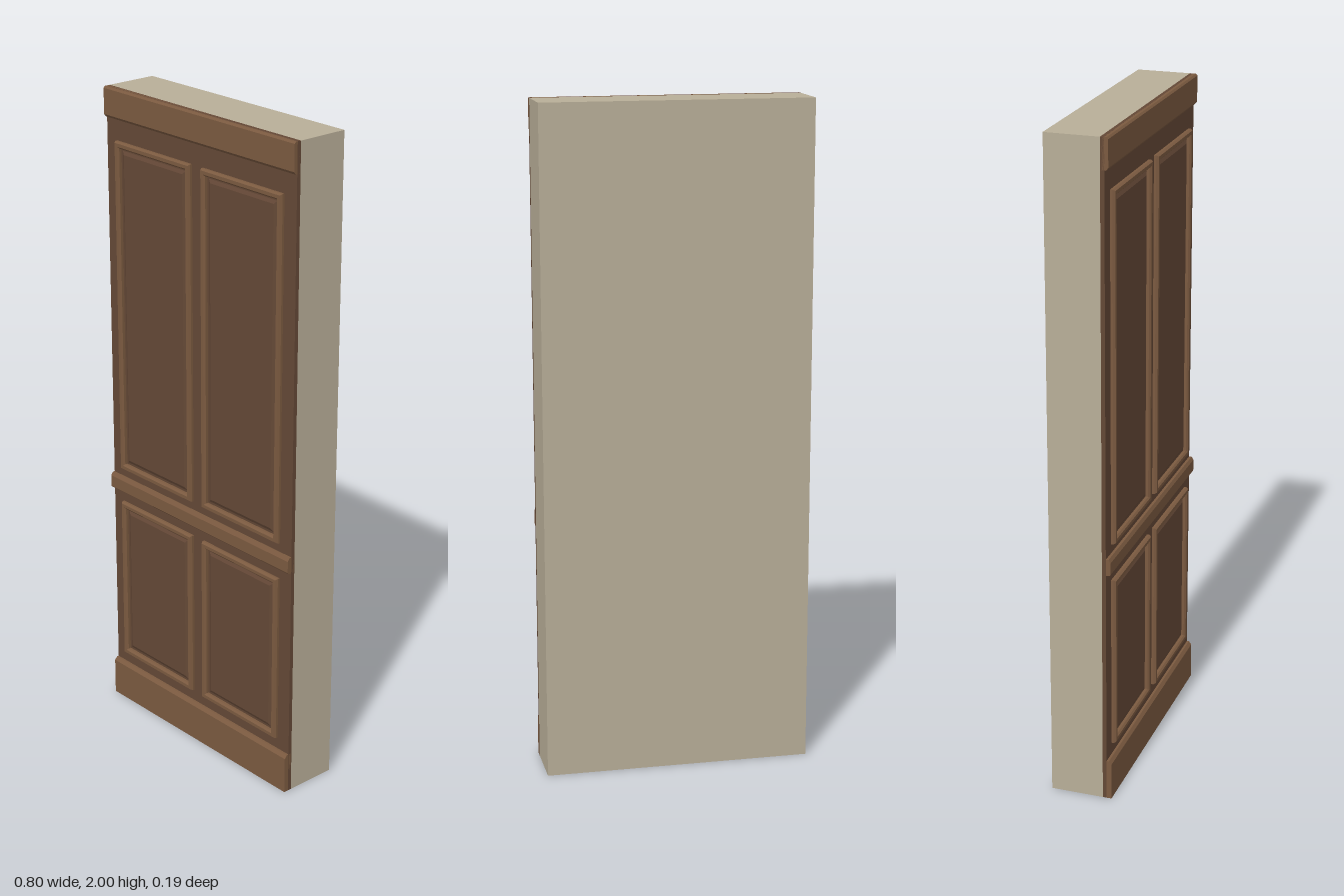
import * as THREE from 'three';

const mat = (color) => new THREE.MeshStandardMaterial({ color, flatShading: true });
const plaster = mat(0xb8ae98);
const darkWood = mat(0x644836);
const lightWood = mat(0x7b5a40);

const W = 0.8;          // overall width
const FACE = 0.078;     // front face of the wood backing

function box(name, w, h, d, x, y, z, material) {
  const m = new THREE.Mesh(new THREE.BoxGeometry(w, h, d), material);
  m.name = name;
  m.position.set(x, y, z);
  return m;
}

// Horizontal moulding: [z, y] profile swept across the full width
function rail(name, profile) {
  const shape = new THREE.Shape(profile.map(([z, y]) => new THREE.Vector2(-z, y)));
  const geo = new THREE.ExtrudeGeometry(shape, { depth: W, bevelEnabled: false });
  geo.rotateY(Math.PI / 2).translate(-W / 2, 0, 0);
  const m = new THREE.Mesh(geo, lightWood);
  m.name = name;
  return m;
}

// Concentric rectangles stepping inwards; each step is [inset, z]
function steppedRect(name, x0, x1, y0, y1, steps, material, capped) {
  const pos = [];
  const ring = ([i, z]) => [[x0 + i, y0 + i, z], [x1 - i, y0 + i, z], [x1 - i, y1 - i, z], [x0 + i, y1 - i, z]];
  const quad = (a, b, c, d) => pos.push(...a, ...b, ...c, ...a, ...c, ...d);
  for (let s = 0; s < steps.length - 1; s++) {
    const a = ring(steps[s]), b = ring(steps[s + 1]);
    for (let k = 0; k < 4; k++) {
      const n = (k + 1) % 4;
      quad(a[k], a[n], b[n], b[k]);
    }
  }
  if (capped) quad(...ring(steps[steps.length - 1]));
  const geo = new THREE.BufferGeometry();
  geo.setAttribute('position', new THREE.Float32BufferAttribute(pos, 3));
  geo.computeVertexNormals();
  const m = new THREE.Mesh(geo, material);
  m.name = name;
  return m;
}

export function createModel() {
  const group = new THREE.Group();
  group.name = 'panelledWall';

  // Wall core and wood backing
  group.add(box('wallCore', W, 2, 0.16, 0, 1, -0.014, plaster));
  group.add(box('woodBacking', W, 2, FACE - 0.066, 0, 1, (FACE + 0.066) / 2, darkWood));

  // Baseboard, chair rail and crown
  group.add(rail('baseboard', [[0.07, 0], [0.093, 0], [0.093, 0.115], [0.085, 0.125], [0.07, 0.125]]));
  group.add(rail('chairRail', [[0.07, 0.73], [0.088, 0.73], [0.092, 0.734], [0.092, 0.77], [0.086, 0.78], [0.07, 0.78]]));
  group.add(rail('crownRail', [[0.07, 1.91], [0.083, 1.91], [0.089, 1.918], [0.089, 1.995], [0.084, 2], [0.07, 2]]));

  // Two upper and two lower panels, each a moulded frame around a raised field
  for (const [row, y0, y1] of [['lower', 0.162, 0.695], ['upper', 0.808, 1.847]]) {
    for (const [side, x0, x1] of [['Right', -0.355, -0.025], ['Left', 0.022, 0.352]]) {
      group.add(steppedRect(row + side + 'Frame', x0, x1, y0, y1,
        [[0, FACE], [0, 0.085], [0.004, 0.092], [0.014, 0.092], [0.019, 0.087], [0.019, FACE]], lightWood, false));
      group.add(steppedRect(row + side + 'Field', x0, x1, y0, y1,
        [[0.019, FACE + 0.0005], [0.026, FACE + 0.001], [0.036, 0.084]], darkWood, true));
    }
  }
  return group;
}
